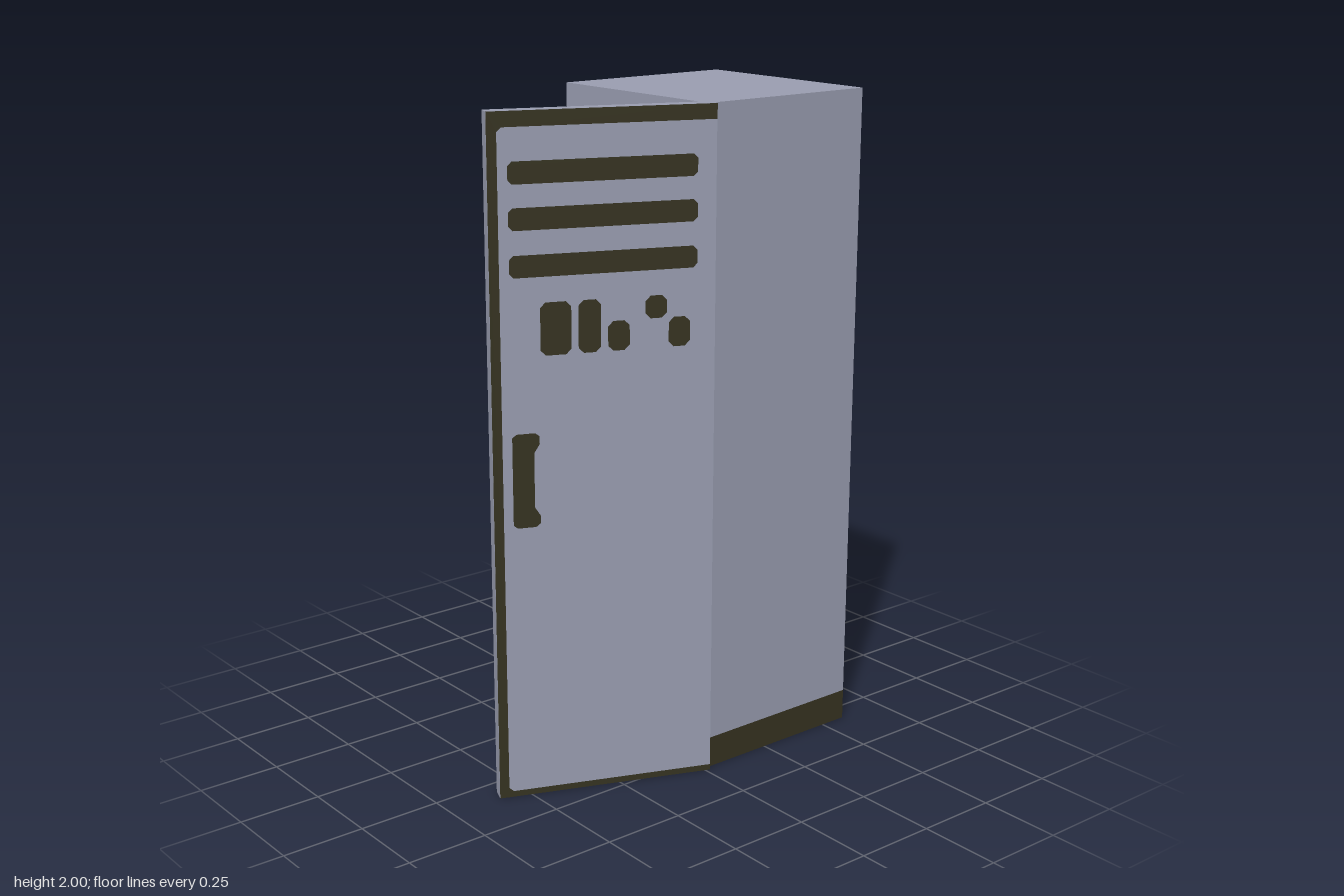
import * as THREE from 'three';

const paint = (name, color) => {
  const m = new THREE.MeshStandardMaterial({ color });
  m.name = name;
  return m;
};

export function createModel() {
  const grey = paint('blue grey paint', 0x999db0);
  const dark = paint('dark olive trim', 0x363321);
  const inner = paint('dark interior', 0x303030);
  const model = new THREE.Group();
  model.name = 'locker';

  // Box between two corners
  const slab = (parent, name, mat, [x0, y0, z0], [x1, y1, z1]) => {
    const g = new THREE.BoxGeometry(x1 - x0, y1 - y0, z1 - z0);
    g.translate((x0 + x1) / 2, (y0 + y1) / 2, (z0 + z1) / 2);
    const mesh = new THREE.Mesh(g, mat);
    mesh.name = name;
    parent.add(mesh);
    return mesh;
  };

  // Cabinet: outer limits, and the cavity that opens towards -x
  const X0 = -0.004, X1 = 0.587, Z0 = -0.333, Z1 = 0.317, TOP = 2, BAND = 0.095;
  const cx = 0.53, cz0 = -0.27, cz1 = 0.297, floorY = 0.06, ceilY = 1.93;
  const cabinet = new THREE.Group();
  cabinet.name = 'cabinet';
  model.add(cabinet);
  for (const [part, mat, y0, y1] of [['Plinth', dark, 0, BAND], ['Wall', grey, BAND, ceilY]]) {
    slab(cabinet, 'back' + part, mat, [X0, y0, Z0], [X1, y1, cz0]);
    slab(cabinet, 'front' + part, mat, [X0, y0, cz1], [X1, y1, Z1]);
    slab(cabinet, 'side' + part, mat, [cx, y0, cz0], [X1, y1, cz1]);
  }
  slab(cabinet, 'roof', grey, [X0, ceilY, Z0], [X1, TOP, Z1]);
  slab(cabinet, 'floor', dark, [X0, 0, cz0], [cx, floorY, cz1]);

  // Interior lining: a box turned inside out, without its -x face
  const lining = slab(cabinet, 'interiorLining', inner,
    [X0 + 0.001, floorY + 0.002, cz0 + 0.002], [cx - 0.002, ceilY - 0.002, cz1 - 0.002]);
  const index = Array.from(lining.geometry.index.array);
  index.splice(6, 6);
  lining.geometry.setIndex(index.reverse());
  lining.geometry.clearGroups();
  lining.geometry.computeVertexNormals();

  // Door, swung open; local x runs from the free edge to the hinge
  const angle = 0.379, W = 0.649, T = 0.044;
  const door = new THREE.Group();
  door.name = 'door';
  door.position.set(-0.588, 0, 0.092);
  door.rotation.y = -angle;
  model.add(door);
  slab(door, 'doorPanel', grey, [0, 0, -T], [W, TOP, 0]);

  // Flat painted details on the outer door face
  const flat = (name, points) => {
    const shape = new THREE.Shape(points.map(([x, y]) => new THREE.Vector2(x, y)));
    const mesh = new THREE.Mesh(new THREE.ShapeGeometry(shape), dark);
    mesh.name = name;
    mesh.position.z = 0.002;
    door.add(mesh);
  };
  const u = x => (x + 0.588) / Math.cos(angle);
  const patch = (name, x0, x1, y0, y1, c = 0.012) => {
    const a = u(x0), b = u(x1);
    flat(name, [[a + c, y0], [b - c, y0], [b, y0 + c], [b, y1 - c],
      [b - c, y1], [a + c, y1], [a, y1 - c], [a, y0 + c]]);
  };

  // Border lines along the top, bottom and free edge
  flat('doorBorder', [[W, 0], [W, 0.018], [0.042, 0.018], [0.028, 0.03], [0.028, 1.945],
    [0.042, 1.957], [W, 1.957], [W, 2], [0, 2], [0, 0]]);

  // Ventilation slots
  for (const y of [1.547, 1.677, 1.803]) patch('ventSlot', -0.536, -0.036, y, y + 0.062);

  // Label marks
  for (const [x0, x1, y0, y1] of [
    [-0.457, -0.375, 1.325, 1.475], [-0.356, -0.296, 1.325, 1.475],
    [-0.277, -0.219, 1.325, 1.41], [-0.176, -0.118, 1.41, 1.475], [-0.113, -0.055, 1.325, 1.41],
  ]) patch('labelMark', x0, x1, y0, y1, 0.015);

  // Handle with widened ends, mirrored about its middle
  const mid = 0.967;
  const half = [[-0.478, 0.1], [-0.463, 0.07].map((v, i) => (i ? 0.105 : v)), [-0.463, 0.128],
    [-0.475, 0.138], [-0.525, 0.138], [-0.536, 0.128]];
  half[0][1] = 0.08;
  flat('handle', [...half.map(([x, y]) => [u(x), mid + y]),
    ...half.slice().reverse().map(([x, y]) => [u(x), mid - y])]);

  return model;
}
